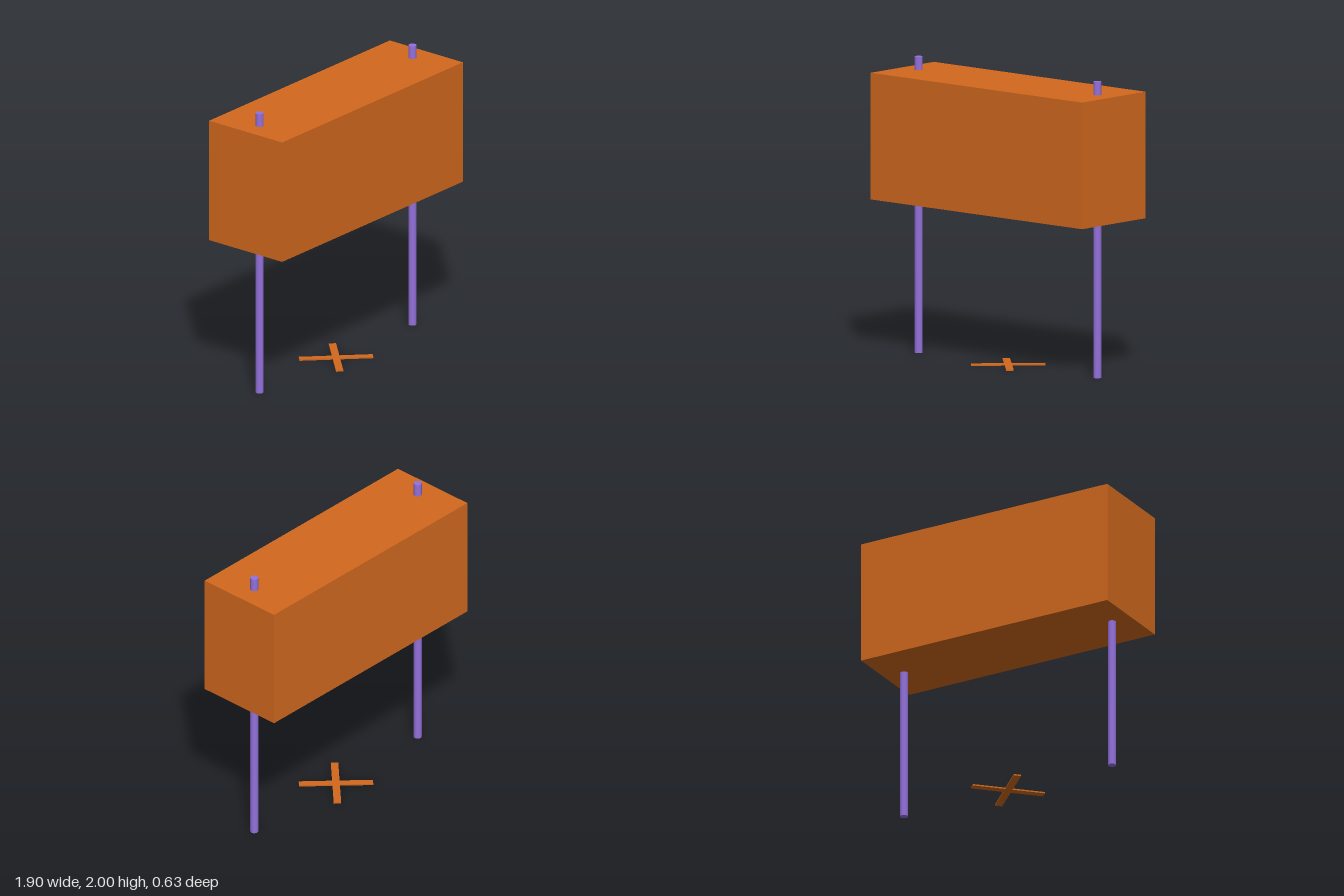
import * as THREE from 'three';

export function createModel() {
  const model = new THREE.Group();
  const orange = new THREE.MeshStandardMaterial({ color: 0xd2691e });
  const purple = new THREE.MeshStandardMaterial({ color: 0x9370db });

  const add = (name, geometry, material, x = 0, y = 0, z = 0) => {
    const mesh = new THREE.Mesh(geometry, material);
    mesh.name = name;
    mesh.position.set(x, y, z);
    model.add(mesh);
    return mesh;
  };

  // Large raised block
  add('block', new THREE.BoxGeometry(1.9, 0.855, 0.63), orange, 0, 1.4825, 0);

  // Two poles running through the block, from the ground to just above its top
  const poleGeometry = new THREE.CylinderGeometry(0.027, 0.027, 2, 32);
  for (const side of [-1, 1]) {
    add(side > 0 ? 'leftPole' : 'rightPole', poleGeometry, purple, side * 0.803, 1, 0);
  }

  // Thin diagonal cross lying on the ground, one outline swept by quarter turns
  const arm = 0.248, half = 0.025, thickness = 0.01;
  const outline = [];
  for (let i = 0; i < 4; i++) {
    for (const [x, y] of [[half, -half], [arm, -half], [arm, half]]) {
      outline.push(new THREE.Vector2(x, y).rotateAround(new THREE.Vector2(), i * Math.PI / 2));
    }
  }
  const crossGeometry = new THREE.ExtrudeGeometry(new THREE.Shape(outline), {
    depth: thickness, bevelEnabled: false,
  });
  crossGeometry.rotateX(-Math.PI / 2).rotateY(Math.PI / 4);
  add('groundCross', crossGeometry, orange);

  return model;
}
